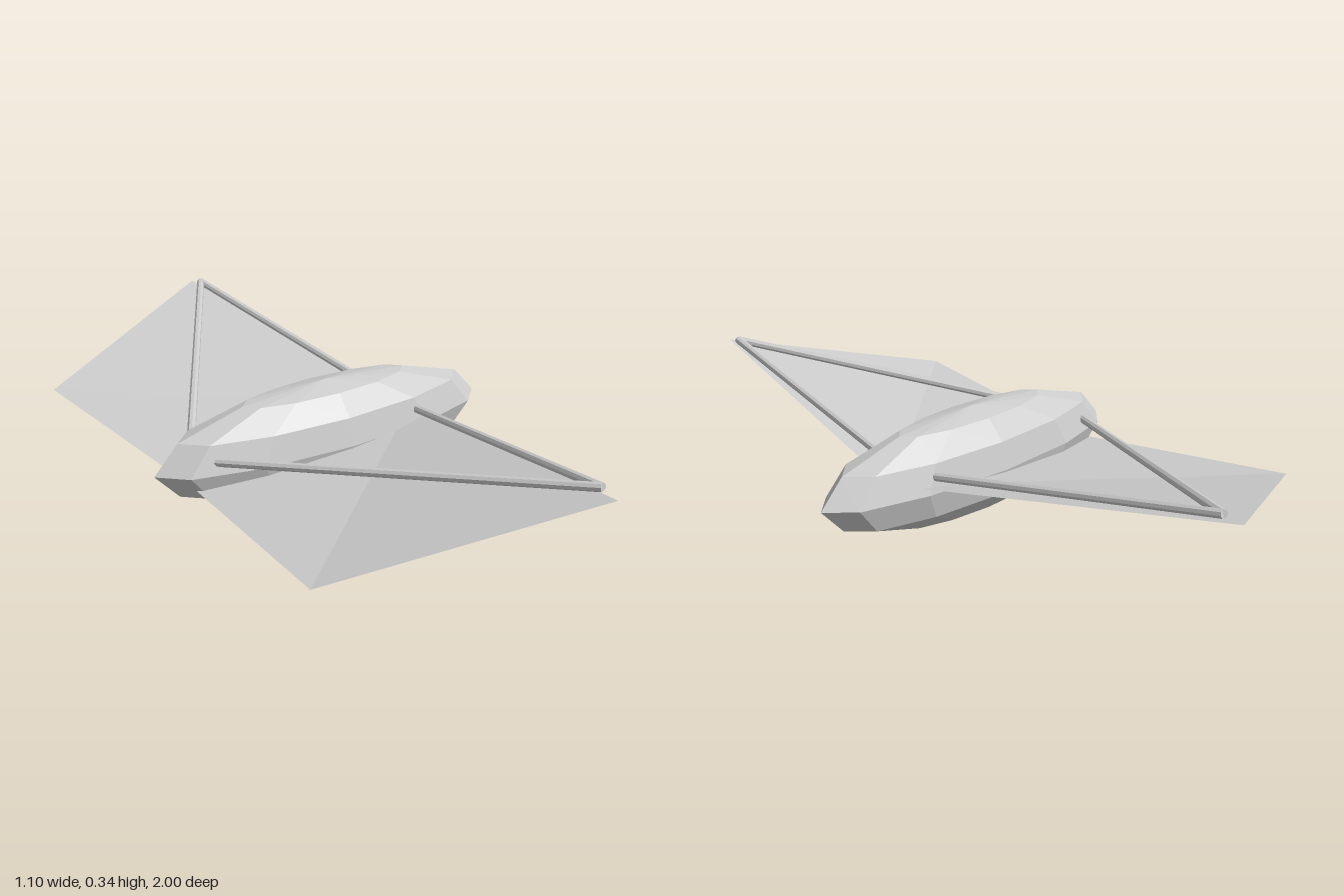
import * as THREE from 'three';

export function createModel() {
  const model = new THREE.Group();
  model.name = 'glider';

  const grey = new THREE.MeshStandardMaterial({ color: 0xcccccc, flatShading: true });
  grey.name = 'light grey';
  const skin = grey;
  skin.side = THREE.DoubleSide;

  // faceted ellipsoid hull
  const hull = new THREE.Mesh(new THREE.SphereGeometry(1, 12, 6), grey);
  hull.name = 'hull';
  hull.scale.set(0.55, 0.1575, 0.14);
  hull.position.y = 0.1585;
  model.add(hull);

  const addStrut = (parent, name, from, to) => {
    const a = new THREE.Vector3(...from);
    const b = new THREE.Vector3(...to);
    const dir = b.clone().sub(a);
    const strut = new THREE.Mesh(new THREE.CylinderGeometry(0.012, 0.012, dir.length(), 8), grey);
    strut.name = name;
    strut.position.copy(a).add(b).multiplyScalar(0.5);
    strut.quaternion.setFromUnitVectors(new THREE.Vector3(0, 1, 0), dir.normalize());
    parent.add(strut);
  };

  for (const [side, s] of [['front', 1], ['back', -1]]) {
    const wing = new THREE.Group();
    wing.name = side + 'Wing';

    // thin membrane: root at the hull, creased along one diagonal
    const geometry = new THREE.BufferGeometry();
    geometry.setAttribute('position', new THREE.Float32BufferAttribute([
      0.31, 0.163, 0,
      -0.447, 0.108, 0,
      -0.527, 0.162, 0.71 * s,
      0.127, 0.319, 1.0 * s,
    ], 3));
    geometry.setIndex(s > 0 ? [0, 1, 2, 0, 2, 3] : [0, 2, 1, 0, 3, 2]);
    geometry.computeVertexNormals();
    const membrane = new THREE.Mesh(geometry, skin);
    membrane.name = side + 'Membrane';
    wing.add(membrane);

    // two struts meeting near the wing tip
    const tip = [0.13, 0.33, 0.945 * s];
    addStrut(wing, side + 'LongStrut', tip, [-0.415, 0.186, 0.045 * s]);
    addStrut(wing, side + 'ShortStrut', tip, [0.25, 0.196, 0.07 * s]);
    model.add(wing);
  }

  return model;
}
